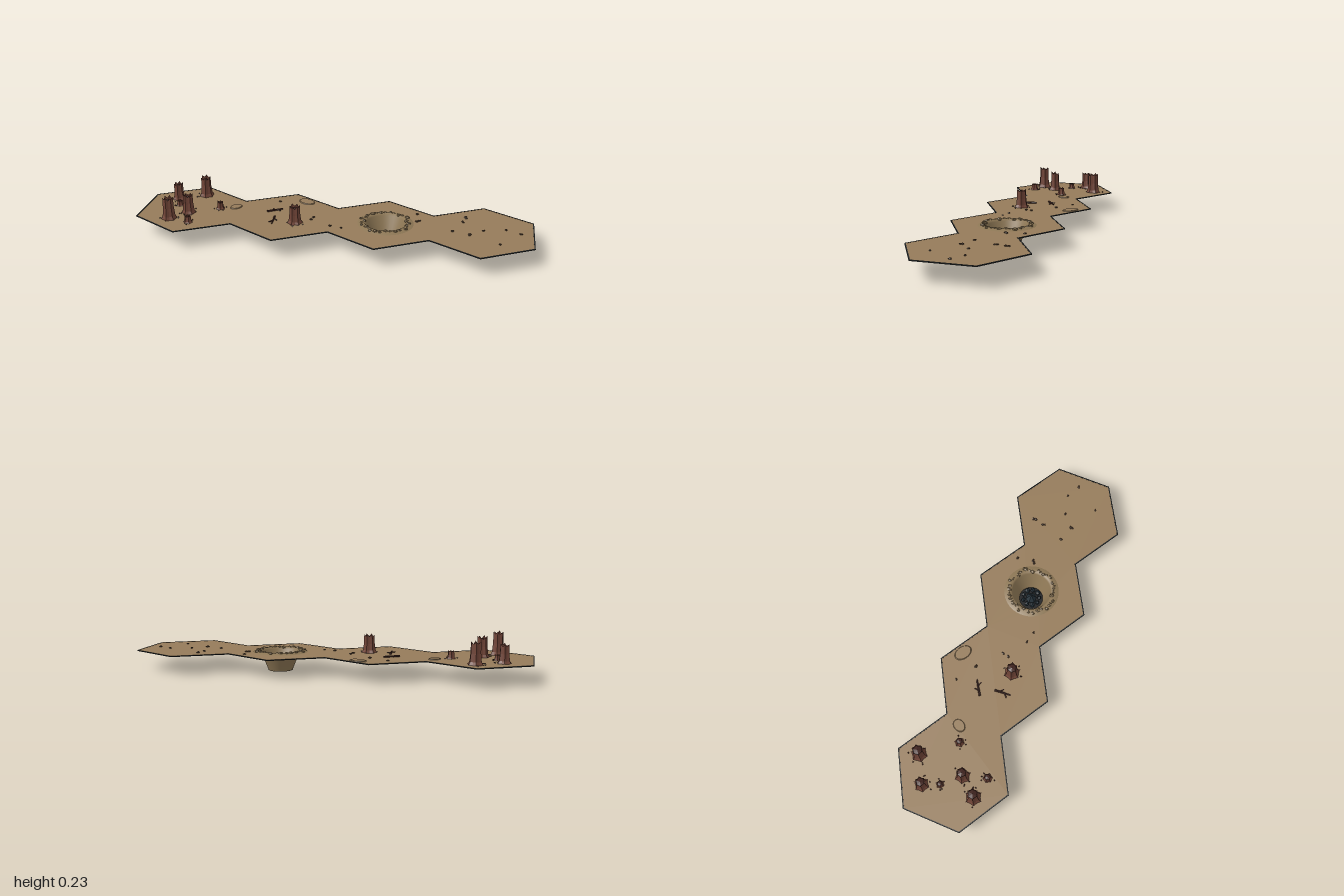
import * as THREE from 'three';

const mat = (name, color, opts = {}) => {
  const m = new THREE.MeshStandardMaterial({ color, ...opts });
  m.name = name;
  return m;
};

export function createModel() {
  const root = new THREE.Group();
  root.name = 'hexGroundWithCrater';
  const soil = mat('soil', 0x957b5a);
  const crust = mat('craterWall', 0x8c7654, { side: THREE.DoubleSide });
  const rubble = mat('rimRubble', 0x857050, { flatShading: true });
  const edging = mat('edging', 0x2a2e2f);
  const pit = mat('pitFloor', 0x17191c, { side: THREE.DoubleSide });
  const darkRock = mat('darkRock', 0x25323a, { flatShading: true });
  const bark = mat('bark', 0x704437, { flatShading: true, side: THREE.DoubleSide });
  const deadWood = mat('deadWood', 0x432722, { flatShading: true });
  const pebble = mat('pebble', 0x4e3a2b, { flatShading: true });

  let seed = 7;
  const rnd = () => (seed = (seed * 16807) % 2147483647) / 2147483647;
  const GROUND = 0.1;

  const add = (name, geo, material, x = 0, y = 0, z = 0, parent = root) => {
    const m = new THREE.Mesh(geo, material);
    m.name = name;
    m.position.set(x, y, z);
    parent.add(m);
    return m;
  };

  // Ground: four joined hexagons as one outline, symmetric about the centre
  const R = 0.305, H = R * Math.sqrt(3) / 2;
  const half = [[-2.25 * R - R, 1.5 * H]];
  for (let k = 0; k < 4; k++) {
    const cx = (k - 1.5) * 1.5 * R, cz = (1.5 - k) * H;
    half.push([cx - R / 2, cz + H], [cx + R / 2, cz + H]);
  }
  const outline = [...half, ...half.map(([x, z]) => [-x, -z])];
  const CX = 0.24, CZ = -0.15;
  const shape = new THREE.Shape(outline.map(([x, z]) => new THREE.Vector2(x, -z)));
  const hole = new THREE.Path();
  hole.absarc(CX, -CZ, 0.108, 0, Math.PI * 2, true);
  shape.holes.push(hole);
  const slab = new THREE.ExtrudeGeometry(shape, { depth: 0.004, bevelEnabled: false, curveSegments: 24 });
  slab.rotateX(-Math.PI / 2);
  add('ground', slab, soil, 0, GROUND - 0.004, 0);

  // Dark edging along the outline
  outline.forEach(([x, z], i) => {
    const [x2, z2] = outline[(i + 1) % outline.length];
    const len = Math.hypot(x2 - x, z2 - z);
    const strip = add('edging', new THREE.BoxGeometry(len + 0.004, 0.005, 0.006), edging,
      (x + x2) / 2, GROUND - 0.0015, (z + z2) / 2);
    strip.rotation.y = -Math.atan2(z2 - z, x2 - x);
  });

  // Crater: raised lip and funnel, with a black floor
  const crater = new THREE.Group();
  crater.name = 'crater';
  crater.position.set(CX, 0, CZ);
  root.add(crater);
  const profile = [[0.065, 0], [0.105, 0.098], [0.113, 0.109], [0.128, 0.109], [0.15, 0.1005]]
    .map(([r, y]) => new THREE.Vector2(r, y));
  add('craterWall', new THREE.LatheGeometry(profile, 32), crust, 0, 0, 0, crater);
  const floor = add('pitFloor', new THREE.CircleGeometry(0.066, 32), pit, 0, 0.001, 0, crater);
  floor.rotation.x = -Math.PI / 2;

  // Rubble on the lip
  for (let i = 0; i < 30; i++) {
    const a = (i + rnd() * 0.5) / 30 * Math.PI * 2, r = 0.113 + rnd() * 0.022;
    const s = 0.008 + rnd() * 0.006;
    const stone = add('rimStone', new THREE.DodecahedronGeometry(s), rubble,
      Math.cos(a) * r, 0.107, Math.sin(a) * r, crater);
    stone.scale.set(1.1, 0.75, 1);
    stone.rotation.y = rnd() * 6;
  }

  // Heap of dark rocks in the pit
  add('pitRock', new THREE.ConeGeometry(0.032, 0.045, 6), darkRock, 0, 0.022, 0, crater);
  for (let i = 0; i < 9; i++) {
    const a = i / 9 * Math.PI * 2;
    const rock = add('pitRock', new THREE.DodecahedronGeometry(0.011 + rnd() * 0.006), darkRock,
      Math.cos(a) * 0.045, 0.012, Math.sin(a) * 0.045, crater);
    rock.rotation.set(0, rnd() * 6, 0);
  }

  // Broken stumps: lobed trunk, flared roots, splintered top
  const stump = (x, z, r, h) => {
    const g = new THREE.Group();
    g.name = 'stump';
    g.position.set(x, GROUND, z);
    g.rotation.y = rnd() * 6;
    root.add(g);
    const N = 12, flare = [1.3, 1.02, 0.88, 0.84];
    const jag = Array.from({ length: N }, (_, i) => (i % 2 ? 0.86 : 0.95) + rnd() * 0.07);
    const geo = new THREE.CylinderGeometry(1, 1, 1, N, 3, true);
    const p = geo.attributes.position;
    for (let i = 0; i < p.count; i++) {
      const row = 3 - Math.floor(i / (N + 1)), col = (i % (N + 1)) % N;
      const a = col / N * Math.PI * 2;
      const rad = r * flare[row] * (col % 2 ? 0.84 : 1.06);
      p.setXYZ(i, Math.sin(a) * rad, h * [0, 0.14, 0.5, jag[col]][row], Math.cos(a) * rad);
    }
    geo.computeVertexNormals();
    add('trunk', geo, bark, 0, 0, 0, g);
    add('heartwood', new THREE.ConeGeometry(r * 0.8, h * 0.1, 6), deadWood, 0, h * 0.85, 0, g);
    for (let i = 0; i < 6; i++) {
      const a = i / 6 * Math.PI * 2;
      const rt = add('root', new THREE.ConeGeometry(r * 0.28, r * 0.8, 4), deadWood,
        Math.sin(a) * r * 1.15, r * 0.08, Math.cos(a) * r * 1.15, g);
      rt.rotation.set(Math.PI / 2, a, 0, 'YXZ');
      rt.scale.z = 0.6;
    }
    for (let i = 0; i < 4; i++) {
      const a = rnd() * 6.28, d = r * (1.5 + rnd() * 0.4);
      add('chip', new THREE.TetrahedronGeometry(0.005), deadWood, Math.cos(a) * d, 0.002, Math.sin(a) * d, g);
    }
  };
  [[-0.77, 0.22, 0.031, 0.115], [-0.85, 0.355, 0.028, 0.097], [-0.775, 0.41, 0.016, 0.03],
    [-0.66, 0.445, 0.029, 0.11], [-0.68, 0.565, 0.031, 0.125], [-0.57, 0.295, 0.019, 0.042],
    [-0.565, 0.53, 0.019, 0.038], [-0.13, 0.16, 0.031, 0.099]].forEach(s => stump(...s));

  // Fallen branches with side twigs
  const branch = (x, z, dx, dz) => {
    const g = new THREE.Group();
    g.name = 'fallenBranch';
    g.position.set(x, GROUND + 0.004, z);
    g.rotation.y = -Math.atan2(dz, dx);
    root.add(g);
    const stick = (len, r, px, pz, yaw) => {
      const geo = new THREE.CylinderGeometry(r * 0.6, r, len, 6);
      geo.rotateZ(-Math.PI / 2);
      add('stick', geo, deadWood, px, 0, pz, g).rotation.y = yaw;
    };
    stick(0.09, 0.006, 0, 0, 0);
    stick(0.028, 0.004, 0.018, 0.01, -0.9);
    stick(0.026, 0.004, -0.008, -0.01, 0.9);
  };
  branch(-0.32, 0.118, 0.04, -0.08);
  branch(-0.235, 0.218, 0.045, 0.065);

  // Low earth mounds
  [[-0.27, -0.088, 0.05, 0.034], [-0.52, 0.222, 0.028, 0.037]].forEach(([x, z, rx, rz]) => {
    const m = add('mound', new THREE.CylinderGeometry(0.92, 1, 0.004, 24), soil, x, GROUND + 0.002, z);
    m.scale.set(rx, 1, rz);
  });

  // Scattered pebbles
  [[0.52, -0.495], [0.53, -0.485], [0.77, -0.495], [0.855, -0.5], [0.54, -0.435], [0.55, -0.428],
    [0.685, -0.41], [0.565, -0.3], [0.66, -0.315], [0.655, -0.325], [0.835, -0.325], [0.3, -0.355],
    [0.36, -0.29], [0.355, -0.275], [-0.385, 0.01], [-0.26, 0.015], [-0.1, 0.045], [-0.09, 0.075],
    [0.04, 0.07], [0.1, 0.05]].forEach(([x, z]) => {
    const s = add('pebble', new THREE.DodecahedronGeometry(0.006 + rnd() * 0.003), pebble, x, GROUND + 0.002, z);
    s.scale.set(1.1, 0.7, 0.9);
    s.rotation.y = rnd() * 6;
  });

  return root;
}
